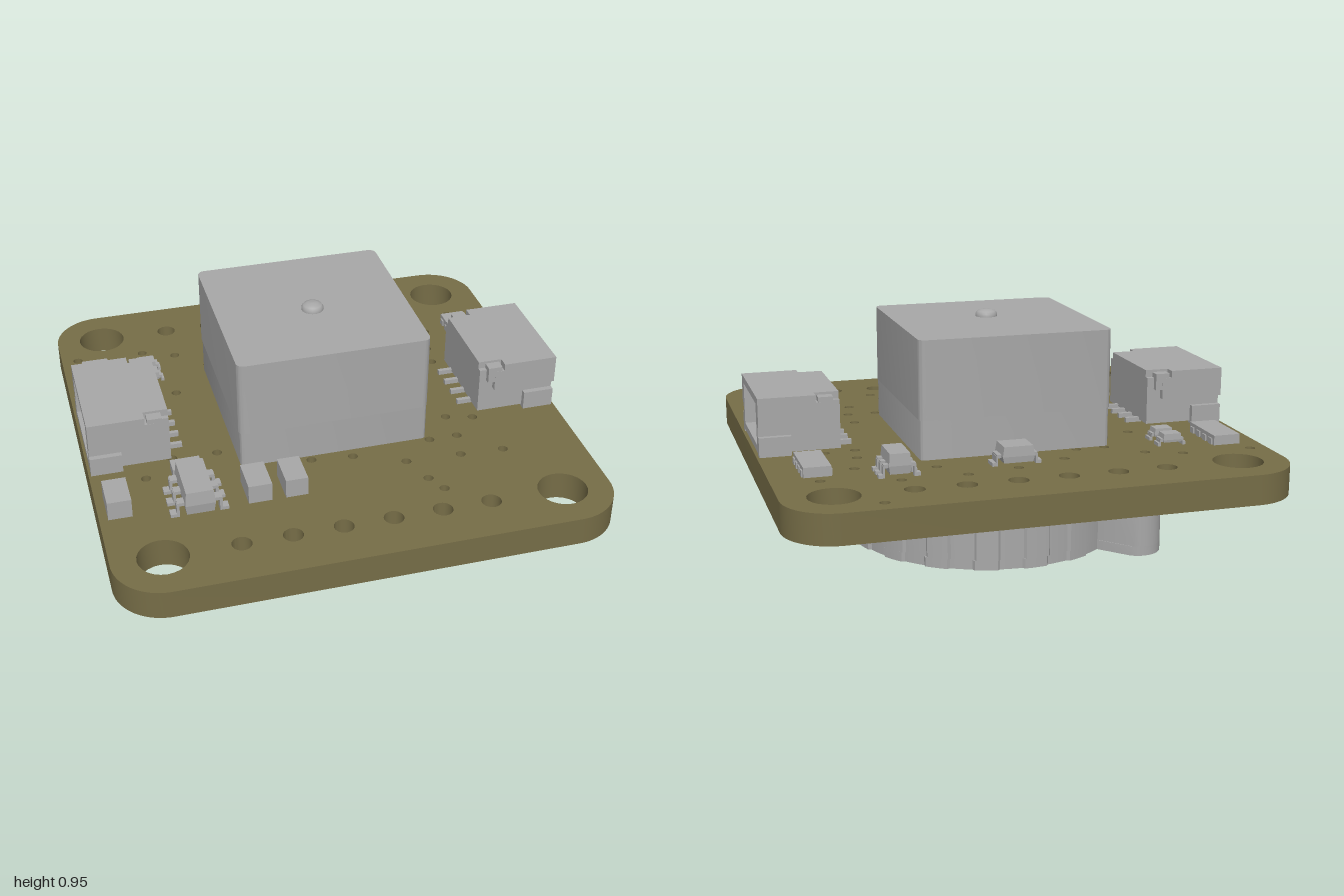
import * as THREE from 'three';
import { toCreasedNormals } from 'three/addons/utils/BufferGeometryUtils.js';

const boardMat = new THREE.MeshStandardMaterial({ color: 0x766d47 });
boardMat.name = 'olive board';
const greyMat = new THREE.MeshStandardMaterial({ color: 0xa8a8a8 });
greyMat.name = 'component grey';
const TOP = 0.44, BOTTOM = 0.32;

function add(parent, name, geo, mat = greyMat) {
  const m = new THREE.Mesh(geo, mat);
  m.name = name;
  parent.add(m);
  return m;
}
function group(parent, name) {
  const g = new THREE.Group();
  g.name = name;
  parent.add(g);
  return g;
}
// box given by its limits
function box(parent, name, x0, x1, y0, y1, z0, z1) {
  const m = add(parent, name, new THREE.BoxGeometry(x1 - x0, y1 - y0, z1 - z0));
  m.position.set((x0 + x1) / 2, (y0 + y1) / 2, (z0 + z1) / 2);
  return m;
}
// plan outline (x, -z) raised from y0 to y1
function raise(shape, y0, y1, curveSegments = 10) {
  const geo = new THREE.ExtrudeGeometry(shape, { depth: y1 - y0, bevelEnabled: false, curveSegments });
  geo.rotateX(-Math.PI / 2).translate(0, y0, 0);
  return toCreasedNormals(geo, 0.5);
}
function roundedRect(x0, x1, z0, z1, r) {
  const s = new THREE.Shape();
  s.absarc(x1 - r, -z0 - r, r, 0, Math.PI / 2);
  s.absarc(x0 + r, -z0 - r, r, Math.PI / 2, Math.PI);
  s.absarc(x0 + r, -z1 + r, r, Math.PI, Math.PI * 1.5);
  s.absarc(x1 - r, -z1 + r, r, Math.PI * 1.5, Math.PI * 2);
  s.closePath();
  return s;
}

function buildBoard(root) {
  const s = roundedRect(-1, 1, -1, 1, 0.2);
  const hole = (x, z, r) => s.holes.push(new THREE.Path().absarc(x, -z, r, 0, Math.PI * 2, true));
  for (const z of [-0.8, 0.8]) {
    for (const x of [-0.8, 0.8]) hole(x, z, 0.1);
    for (let i = 0; i < 6; i++) hole(-0.5 + i * 0.2, z, 0.04);
  }
  const vias = [[-0.93, -0.645], [-0.64, -0.635], [-0.5, -0.58], [-0.16, -0.575], [0.05, -0.645], [0.26, -0.675],
    [0.35, -0.545], [0.52, -0.675], [0.64, -0.925], [0.815, -0.605], [0.66, -0.48], [0.62, -0.335], [0.605, -0.225],
    [0.73, -0.235], [0.63, 0.235], [0.52, 0.345], [0.49, 0.475], [0.67, 0.485], [0.31, 0.595], [0.35, 0.675],
    [-0.78, 0.305], [-0.655, 0.195], [-0.55, -0.275], [-0.47, 0.205], [-0.11, 0.355], [0.06, 0.375], [0.4, 0.345],
    [0.26, 0.465], [0.52, 0.205], [-0.37, -0.465], [-0.25, -0.465]];
  vias.forEach(([x, z]) => hole(x, z, 0.02));
  add(root, 'circuitBoard', raise(s, BOTTOM, TOP, 12), boardMat);
}

// large square module with a small dome on its lid
function buildModule(root) {
  const g = group(root, 'squareModule');
  add(g, 'moduleBase', raise(roundedRect(-0.395, 0.39, -0.45, 0.328, 0.02), TOP, 0.6));
  add(g, 'moduleCase', raise(roundedRect(-0.4, 0.393, -0.456, 0.333, 0.03), 0.6, 0.92));
  const profile = [[0.045, 0], [0.045, 0.012], [0.038, 0.022], [0.022, 0.028], [0, 0.03]];
  const dome = add(g, 'dome', new THREE.LatheGeometry(profile.map(p => new THREE.Vector2(...p)), 24));
  dome.position.set(-0.003, 0.92, -0.025);
}

// side socket opening towards +x
function buildConnector() {
  const g = new THREE.Group();
  box(g, 'socketFloor', 0.66, 0.99, 0.45, 0.48, -0.21, 0.21);
  box(g, 'socketRoof', 0.76, 0.99, 0.65, 0.68, -0.235, 0.235);
  box(g, 'socketRoofRear', 0.66, 0.76, 0.65, 0.68, -0.19, 0.19);
  box(g, 'socketBack', 0.66, 0.74, 0.48, 0.65, -0.18, 0.18);
  for (const s of [-1, 1]) {
    const wall = new THREE.Shape([[0.66, 0.45], [0.87, 0.45], [0.87, 0.48], [0.99, 0.48], [0.99, 0.65], [0.66, 0.65]]
      .map(p => new THREE.Vector2(...p)));
    const side = add(g, 'socketSide', new THREE.ExtrudeGeometry(wall, { depth: 0.03, bevelEnabled: false }));
    side.position.z = s * 0.195 - 0.015;
    box(g, 'sideRib', 0.72, 0.99, 0.56, 0.65, s * 0.222 - 0.013, s * 0.222 + 0.013);
    box(g, 'solderTab', 0.86, 0.99, TOP, 0.52, s * 0.215 - 0.018, s * 0.215 + 0.018);
    box(g, 'rearLatch', 0.69, 0.75, 0.6, 0.67, s * 0.212 - 0.022, s * 0.212 + 0.022);
  }
  for (let i = 0; i < 4; i++) {
    const z = -0.12 + i * 0.08;
    box(g, 'contactPin', 0.74, 0.93, 0.585, 0.61, z - 0.01, z + 0.01);
    box(g, 'solderPin', 0.6, 0.67, TOP, 0.46, z - 0.009, z + 0.009);
  }
  return g;
}

// chip with bent leads on both x sides
function buildChip(root, name, x0, x1, z0, z1, top, reach, leadZ, w) {
  const g = group(root, name);
  const mid = TOP + (top - TOP) * 0.5, cx = (x0 + x1) / 2, half = (x1 - x0) / 2, hz = (z1 - z0) / 2;
  // body waist is widest at lead height
  for (const lower of [true, false]) {
    const geo = new THREE.BoxGeometry(half * 2, lower ? mid - TOP - 0.015 : top - mid, hz * 2);
    const p = geo.attributes.position;
    for (let i = 0; i < p.count; i++) {
      if ((p.getY(i) > 0) !== lower) p.setXYZ(i, p.getX(i) * 0.9, p.getY(i), p.getZ(i) * 0.95);
    }
    geo.computeVertexNormals();
    add(g, lower ? 'lowerBody' : 'upperBody', geo)
      .position.set(cx, lower ? (TOP + 0.015 + mid) / 2 : (mid + top) / 2, (z0 + z1) / 2);
  }
  const span = (a, b, s) => (s > 0 ? [cx + half + a, cx + half + b] : [cx - half - b, cx - half - a]);
  for (const s of [-1, 1]) for (const z of leadZ) {
    box(g, 'leadShoulder', ...span(-0.01, reach * 0.5, s), mid - 0.008, mid + 0.006, z - w, z + w);
    box(g, 'leadDrop', ...span(reach * 0.35, reach * 0.55, s), TOP, mid, z - w, z + w);
    box(g, 'leadFoot', ...span(reach * 0.4, reach, s), TOP, TOP + 0.014, z - w, z + w);
  }
}

function buildSmallParts(root) {
  const blocks = [[-0.965, -0.87, 0.38, 0.53, 0.52], [-0.42, -0.325, 0.42, 0.57, 0.52], [-0.27, -0.18, 0.42, 0.57, 0.52],
    [-0.675, -0.555, 0.26, 0.33, 0.48]];
  blocks.forEach(([x0, x1, z0, z1, y]) => box(root, 'capacitor', x0, x1, TOP, y, z0, z1));
  // flat parts with narrow side contacts
  for (const [x0, x1, z0, z1] of [[-0.925, -0.8, -0.57, -0.335], [0.755, 0.875, -0.55, -0.32]]) {
    const g = group(root, 'flatPart');
    box(g, 'flatBody', x0 + 0.006, x1 - 0.006, TOP, 0.48, z0, z1);
    for (let i = 0; i < 4; i++) {
      const z = z0 + 0.03 + i * (z1 - z0 - 0.06) / 3;
      box(g, 'sideContact', x0, x1, TOP, 0.465, z - 0.015, z + 0.015);
    }
  }
  buildChip(root, 'smallDiodeA', -0.682, -0.602, -0.527, -0.47, 0.49, 0.02, [-0.498], 0.022);
  buildChip(root, 'smallDiodeB', -0.682, -0.602, -0.437, -0.38, 0.49, 0.02, [-0.408], 0.022);
  buildChip(root, 'rearDiode', -0.02, 0.11, -0.63, -0.525, 0.52, 0.035, [-0.577], 0.03);
  buildChip(root, 'rearChip', 0.475, 0.562, -0.65, -0.5, 0.535, 0.038, [-0.627, -0.575, -0.523], 0.013);
  buildChip(root, 'frontChip', -0.675, -0.555, 0.375, 0.6, 0.555, 0.055, [0.412, 0.487, 0.562], 0.018);
}

// outer radius of the cell holder: ribbed round wall, with two round posts joined by a straight back at -x
function holderRadius(a) {
  const c = Math.cos(a), s = Math.abs(Math.sin(a));
  let r = Math.floor(a / (Math.PI / 18)) % 2 ? 0.585 : 0.574;
  const px = -0.51, pz = 0.48, pr = 0.1;
  const along = px * c + pz * s, across = px * s - pz * c;
  if (Math.abs(across) < pr && along > 0) r = Math.max(r, along + Math.sqrt(pr * pr - across * across));
  if (c < 0 && 0.61 / -c * s < pz) r = Math.max(r, 0.61 / -c);
  return r;
}
function buildHolder(root) {
  const g = group(root, 'cellHolder');
  // half-ring walls; gaps are half angles of the slots at +x and -x
  const wall = (name, y0, y1, gapRight, gapLeft, inner) => {
    for (const s of [1, -1]) {
      const pts = [], n = 180, end = Math.PI - gapLeft;
      for (let i = 0; i <= n; i++) {
        const a = gapRight + (end - gapRight) * i / n, r = holderRadius(a);
        pts.push(new THREE.Vector2(r * Math.cos(a), s * r * Math.sin(a)));
      }
      if (inner) for (let i = 48; i >= 0; i--) {
        const a = gapRight + (end - gapRight) * i / 48;
        pts.push(new THREE.Vector2(inner * Math.cos(a), s * inner * Math.sin(a)));
      }
      add(g, name, raise(new THREE.Shape(pts), y0, y1));
    }
  };
  wall('holderRim', 0, 0.04, 0, 0, 0.53);
  wall('holderWall', 0.04, 0.2, 0.13, 0.045, 0.52);
  wall('holderUpperWall', 0.2, 0.27, 0.13, 0, 0.52);
  wall('holderFloor', 0.27, BOTTOM, 0, 0, 0);
  box(g, 'slotLintel', 0.45, 0.53, 0.2, 0.27, -0.07, 0.07);
  for (const s of [-1, 1]) {
    box(g, 'solderPad', s > 0 ? 0.56 : -0.73, s > 0 ? 0.72 : -0.56, 0.28, BOTTOM, -0.07, 0.07);
    // sprung contact strips reaching over the cell floor
    const path = new THREE.Shape([[0.52, 0.27], [0.52, 0.22], [0.2, 0.2], [-0.2, 0.13], [-0.3, 0.14], [-0.3, 0.155],
      [-0.2, 0.15], [0.2, 0.22], [0.48, 0.245], [0.48, 0.27]].map(p => new THREE.Vector2(...p)));
    add(g, 'springContact', new THREE.ExtrudeGeometry(path, { depth: 0.045, bevelEnabled: false }))
      .position.z = s * 0.055 - 0.0225;
    box(g, 'floorRib', -0.3, 0.1, 0.25, 0.275, s * 0.2 - 0.012, s * 0.2 + 0.012);
  }
  box(g, 'floorCrossRib', -0.32, -0.295, 0.25, 0.275, -0.21, 0.21);
}

export function createModel() {
  const root = new THREE.Group();
  root.name = 'circuitBoardAssembly';
  buildBoard(root);
  buildModule(root);
  for (const s of [1, -1]) {
    const c = buildConnector();
    c.name = s > 0 ? 'leftConnector' : 'rightConnector';
    c.rotation.y = s > 0 ? 0 : Math.PI;
    root.add(c);
  }
  buildSmallParts(root);
  buildHolder(root);
  return root;
}
